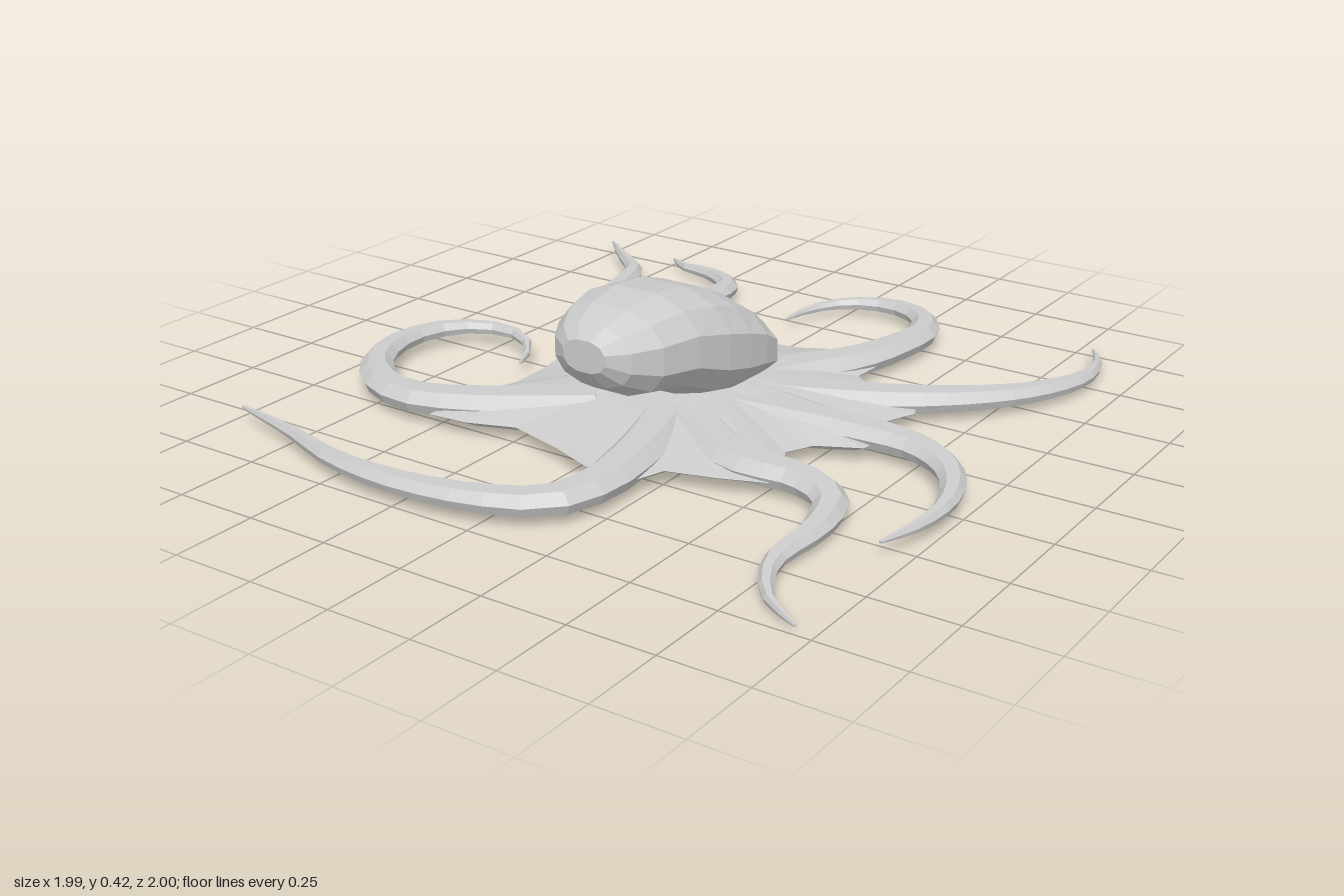
import * as THREE from 'three';

const skin = new THREE.MeshStandardMaterial({ color: 0xcccccc, flatShading: true });
skin.name = 'grey skin';

// Closed skin over equal-sized rings, each running anticlockwise about the travel direction
function loft(rings) {
  const n = rings[0].length;
  const pos = [], idx = [];
  rings.forEach(r => r.forEach(p => pos.push(p.x, p.y, p.z)));
  for (let i = 0; i < rings.length - 1; i++) {
    for (let j = 0; j < n; j++) {
      const a = i * n + j, b = i * n + (j + 1) % n;
      idx.push(a, b, a + n, b, b + n, a + n);
    }
  }
  const cap = (i, flip) => {
    const c = new THREE.Vector3();
    rings[i].forEach(p => c.addScaledVector(p, 1 / n));
    const k = pos.length / 3;
    pos.push(c.x, c.y, c.z);
    for (let j = 0; j < n; j++) {
      const a = i * n + j, b = i * n + (j + 1) % n;
      if (flip) idx.push(k, b, a);
      else idx.push(k, a, b);
    }
  };
  cap(0, true);
  cap(rings.length - 1, false);
  const g = new THREE.BufferGeometry();
  g.setAttribute('position', new THREE.Float32BufferAttribute(pos, 3));
  g.setIndex(idx);
  g.computeVertexNormals();
  return g;
}

// Flat-bottomed arm cross-section, anticlockwise
const armSection = [[0.8, -0.9], [1, 0], [0.5, 0.9], [-0.5, 0.9], [-1, 0], [-0.8, -0.9]];

// Tapering arm following [x, z] points from base to tip
function armGeometry(points, tipY) {
  const curve = new THREE.CatmullRomCurve3(points.map(([x, z]) => new THREE.Vector3(x, 0, z)));
  const up = new THREE.Vector3(0, 1, 0);
  const rings = [];
  const steps = 20;
  for (let i = 0; i <= steps; i++) {
    const t = i / steps;
    const p = curve.getPointAt(t);
    const side = up.clone().cross(curve.getTangentAt(t)).normalize();
    const w = 0.083 * Math.pow(1 - t, 0.9) + 0.004;
    const h = 0.036 * Math.pow(1 - t, 0.6) + 0.004;
    p.y = THREE.MathUtils.lerp(0.06, tipY, t * t);
    rings.push(armSection.map(([u, v]) =>
      p.clone().addScaledVector(side, u * w).addScaledVector(up, v * h)));
  }
  return loft(rings);
}

const arms = [
  ['backRightOuterArm', 0.04, [[-0.2, -0.05], [-0.47, -0.24], [-0.62, -0.43], [-0.69, -0.61],
    [-0.75, -0.775], [-0.88, -0.89], [-1, -1]]],
  ['backRightInnerArm', 0.025, [[-0.15, -0.15], [-0.26, -0.32], [-0.36, -0.45], [-0.42, -0.58],
    [-0.39, -0.73], [-0.41, -0.83], [-0.53, -0.91], [-0.66, -0.94], [-0.74, -1]]],
  ['backLeftInnerArm', 0.03, [[0.1, -0.1], [0.19, -0.27], [0.29, -0.45], [0.33, -0.61],
    [0.34, -0.77], [0.27, -0.9], [0.14, -0.95], [0, -0.91], [-0.08, -0.8], [-0.1, -0.69]]],
  ['backLeftOuterArm', 0.025, [[0.2, -0.08], [0.49, -0.22], [0.68, -0.36], [0.82, -0.53],
    [0.89, -0.72], [0.87, -0.88], [0.81, -0.99]]],
  ['frontLeftOuterArm', 0.04, [[0.2, 0.05], [0.57, 0.01], [0.75, 0.02], [0.88, 0.1],
    [0.955, 0.24], [0.965, 0.4], [0.925, 0.55]]],
  ['frontLeftInnerArm', 0.012, [[0.15, 0.22], [0.41, 0.36], [0.59, 0.36], [0.71, 0.42],
    [0.755, 0.56], [0.755, 0.775], [0.83, 0.91], [0.945, 0.98]]],
  ['frontRightInnerArm', 0.045, [[0.06, 0.2], [0.12, 0.37], [0.16, 0.54], [0.175, 0.7], [0.13, 0.84],
    [-0.02, 0.92], [-0.26, 0.96], [-0.5, 0.94], [-0.72, 0.87], [-0.97, 0.81]]],
  ['frontRightOuterArm', 0.045, [[-0.15, 0.25], [-0.42, 0.43], [-0.61, 0.5], [-0.77, 0.455],
    [-0.9, 0.32], [-0.94, 0.13], [-0.875, -0.02], [-0.73, -0.08], [-0.6, -0.015], [-0.535, 0.11]]],
];

// Scalloped edge of the web between the arms, [x, z]
const webEdge = [
  [-0.45, 0.11], [-0.45, 0.24], [-0.5, 0.35], [-0.5, 0.56], [-0.38, 0.55], [-0.24, 0.5],
  [-0.06, 0.55], [0.07, 0.6], [0.23, 0.6], [0.26, 0.51], [0.4, 0.47], [0.53, 0.42],
  [0.5, 0.31], [0.46, 0.23], [0.5, 0.15], [0.62, 0.09], [0.64, -0.05], [0.57, -0.08],
  [0.62, -0.2], [0.56, -0.32], [0.44, -0.28], [0.35, -0.36], [0.36, -0.54], [0.22, -0.53],
  [0.08, -0.46], [-0.05, -0.44], [-0.2, -0.46], [-0.34, -0.52], [-0.39, -0.4], [-0.385, -0.32],
  [-0.5, -0.33], [-0.52, -0.22], [-0.48, -0.08],
];
// Web profile from the underside centre, round the rim, to the top: [scale, y]
const webProfile = [[0.15, 0.03], [0.6, 0.022], [0.95, 0.03], [1, 0.045], [0.8, 0.066], [0.5, 0.092], [0.2, 0.105]];

// Mantle sections from back to front: [z, bottom, top, half width]
const mantleSections = [
  [-0.235, 0.06, 0.11, 0.08], [-0.2, 0.06, 0.18, 0.175], [-0.15, 0.06, 0.26, 0.215],
  [-0.07, 0.06, 0.325, 0.23], [0.02, 0.06, 0.372, 0.233], [0.12, 0.08, 0.405, 0.23],
  [0.25, 0.14, 0.42, 0.213], [0.37, 0.16, 0.407, 0.18], [0.45, 0.205, 0.38, 0.13], [0.49, 0.255, 0.345, 0.07],
];

export function createModel() {
  const group = new THREE.Group();
  group.name = 'octopus';
  const add = (name, geometry) => {
    const mesh = new THREE.Mesh(geometry, skin);
    mesh.name = name;
    group.add(mesh);
    return mesh;
  };

  // Arms
  for (const [name, tipY, points] of arms) add(name, armGeometry(points, tipY));

  // Web joining the arms
  add('web', loft(webProfile.map(([s, y]) =>
    webEdge.map(([x, z]) => new THREE.Vector3(x * s, y, z * s)))));

  // Bulging mantle leaning towards the front
  const sides = 12;
  add('mantle', loft(mantleSections.map(([z, low, high, w]) =>
    Array.from({ length: sides }, (_, j) => {
      const a = (j + 0.5) / sides * Math.PI * 2;
      const soft = v => Math.sign(v) * Math.pow(Math.abs(v), 0.85);
      return new THREE.Vector3(
        -0.01 + w * soft(Math.cos(a)),
        (low + high) / 2 + (high - low) / 2 * soft(Math.sin(a)) / soft(Math.cos(Math.PI / sides)),
        z);
    }))));

  // Mouth ring under the body
  const mouthProfile = [[0, 0.028], [0.05, 0.02], [0.07, 0], [0.1, 0.004], [0.13, 0.03]]
    .map(([r, y]) => new THREE.Vector2(r, y));
  add('mouth', new THREE.LatheGeometry(mouthProfile, 8)).position.z = -0.04;

  return group;
}
